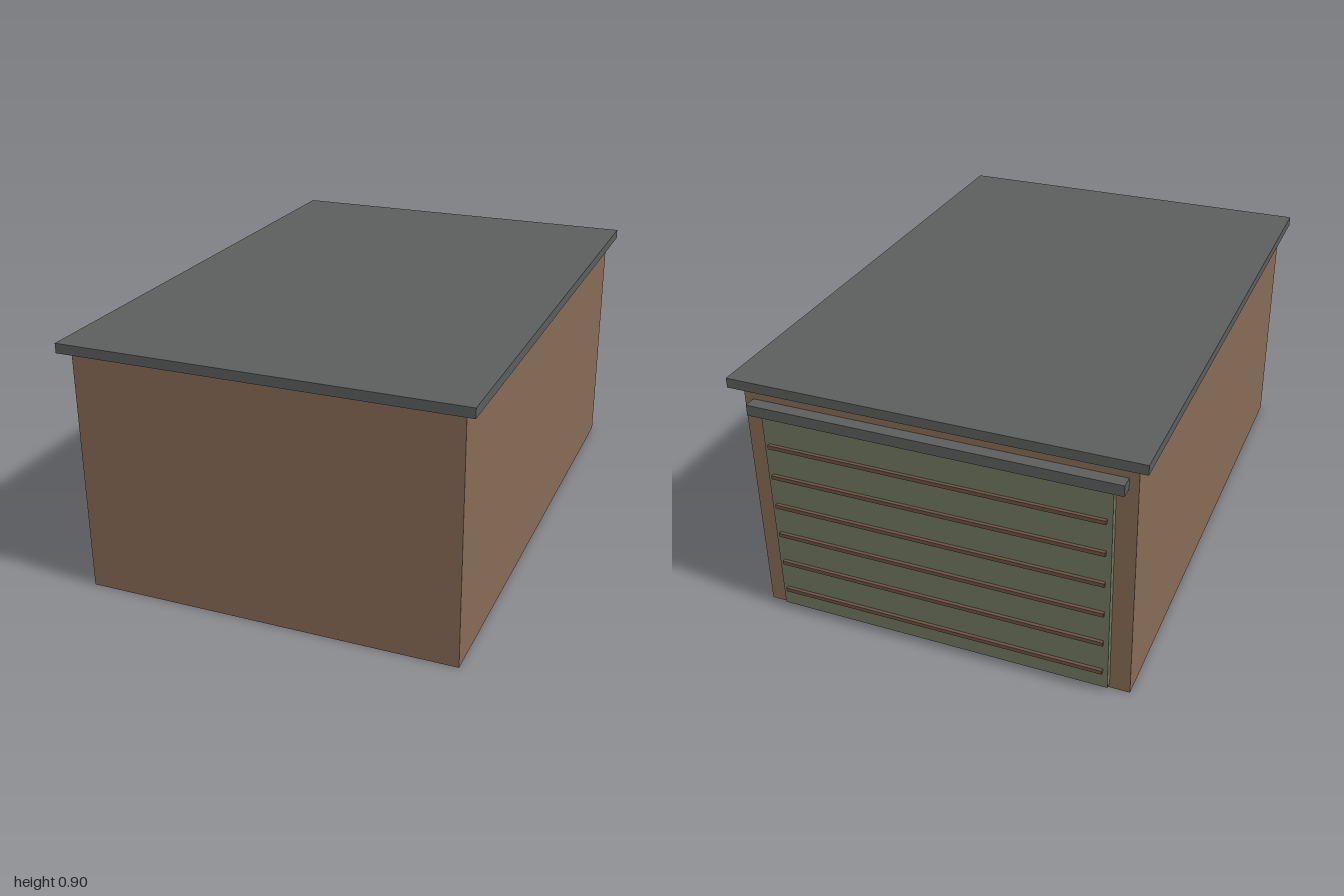
import * as THREE from 'three';

const material = (name, color) => {
  const m = new THREE.MeshStandardMaterial({ color });
  m.name = name;
  return m;
};

export function createModel() {
  const group = new THREE.Group();
  group.name = 'garage';

  const wallBrown = material('wallBrown', 0x866a54);
  const roofGrey = material('roofGrey', 0x5b5e5c);
  const doorGreen = material('doorGreen', 0x70765f);
  const slatBrown = material('slatBrown', 0x6a5244);

  // Box centred on x, given by half width and its y and z ranges
  const addBox = (name, mat, halfWidth, y0, y1, z0, z1, parent = group) => {
    const geometry = new THREE.BoxGeometry(halfWidth * 2, y1 - y0, z1 - z0);
    const mesh = new THREE.Mesh(geometry, mat);
    mesh.position.set(0, (y0 + y1) / 2, (z0 + z1) / 2);
    mesh.name = name;
    parent.add(mesh);
  };

  // Main block and overhanging flat roof
  addBox('walls', wallBrown, 0.661, 0, 0.865, -0.957, 0.967);
  addBox('roof', roofGrey, 0.697, 0.865, 0.899, -0.993, 1);

  // Wide door on the back wall with its header beam
  const door = new THREE.Group();
  door.name = 'garageDoor';
  group.add(door);
  addBox('doorPanel', doorGreen, 0.592, 0.017, 0.785, -0.98, -0.957, door);
  addBox('doorHeader', roofGrey, 0.63, 0.78, 0.818, -1, -0.957, door);

  // Evenly spaced horizontal slats
  for (let i = 0; i < 6; i++) {
    const y = 0.085 + i * 0.1165;
    addBox('doorSlat', slatBrown, 0.575, y - 0.007, y + 0.007, -0.992, -0.98, door);
  }

  return group;
}
